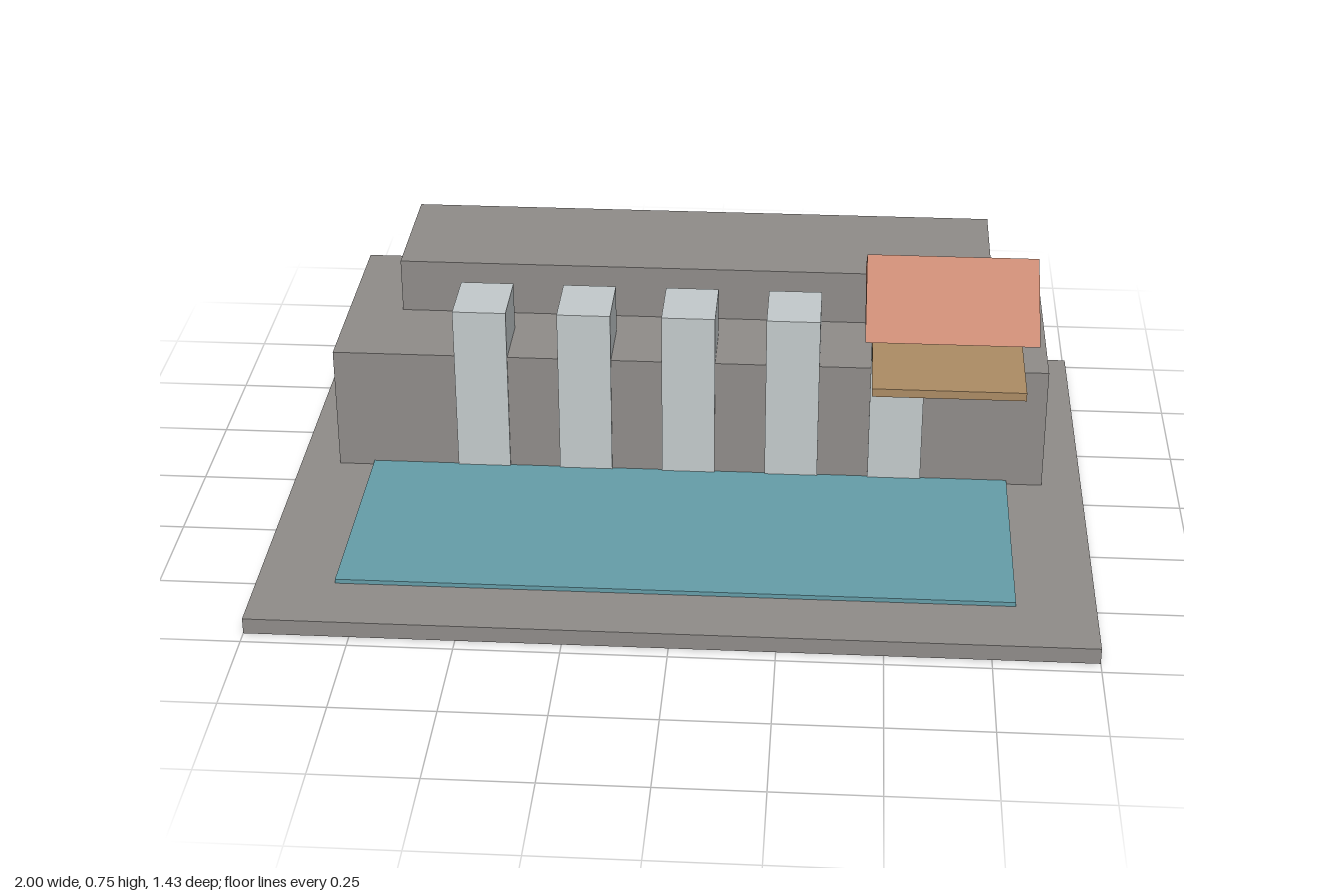
import * as THREE from 'three';

export function createModel() {
  const model = new THREE.Group();
  model.name = 'pavilionAndPool';

  const material = (name, color) => {
    const m = new THREE.MeshStandardMaterial({ color });
    m.name = name;
    return m;
  };
  const stone = material('grey stone', 0x8f8c89);
  const paleStone = material('pale stone', 0xc3cacc);
  const water = material('pool blue', 0x659da8);
  const wood = material('tan wood', 0xac8c64);
  const tile = material('terracotta', 0xc88a73);

  // Box given by its lower and upper limits on each axis
  const box = (name, mat, [x0, x1], [y0, y1], [z0, z1]) => {
    const mesh = new THREE.Mesh(new THREE.BoxGeometry(x1 - x0, y1 - y0, z1 - z0), mat);
    mesh.position.set((x0 + x1) / 2, (y0 + y1) / 2, (z0 + z1) / 2);
    mesh.name = name;
    model.add(mesh);
  };

  // Ground slab and stepped building
  box('base', stone, [-1, 1], [0, 0.04], [-0.715, 0.715]);
  box('mainBlock', stone, [-0.9, 0.9], [0.038, 0.362], [-0.597, -0.025]);
  box('upperBlock', stone, [-0.76, 0.76], [0.302, 0.502], [-0.63, -0.275]);

  // Row of square columns set into the facade
  for (let i = -2; i <= 2; i++) {
    const x = i * 0.262;
    box('column', paleStone, [x - 0.067, x + 0.067], [0.038, 0.488], [-0.19, -0.02]);
  }

  // Shallow pool in front
  box('pool', water, [-0.81, 0.81], [0.038, 0.051], [-0.025, 0.547]);

  // Raised deck with a gabled roof above it
  box('deck', wood, [0.457, 0.823], [0.459, 0.48], [-0.06, 0.303]);
  const gable = new THREE.Shape([
    new THREE.Vector2(-0.205, 0),
    new THREE.Vector2(0.205, 0),
    new THREE.Vector2(0, 0.131),
  ]);
  const roofGeometry = new THREE.ExtrudeGeometry(gable, { depth: 0.408, bevelEnabled: false });
  roofGeometry.rotateY(Math.PI / 2);
  const roof = new THREE.Mesh(roofGeometry, tile);
  roof.position.set(0.437, 0.614, 0.12);
  roof.name = 'gableRoof';
  model.add(roof);

  return model;
}
